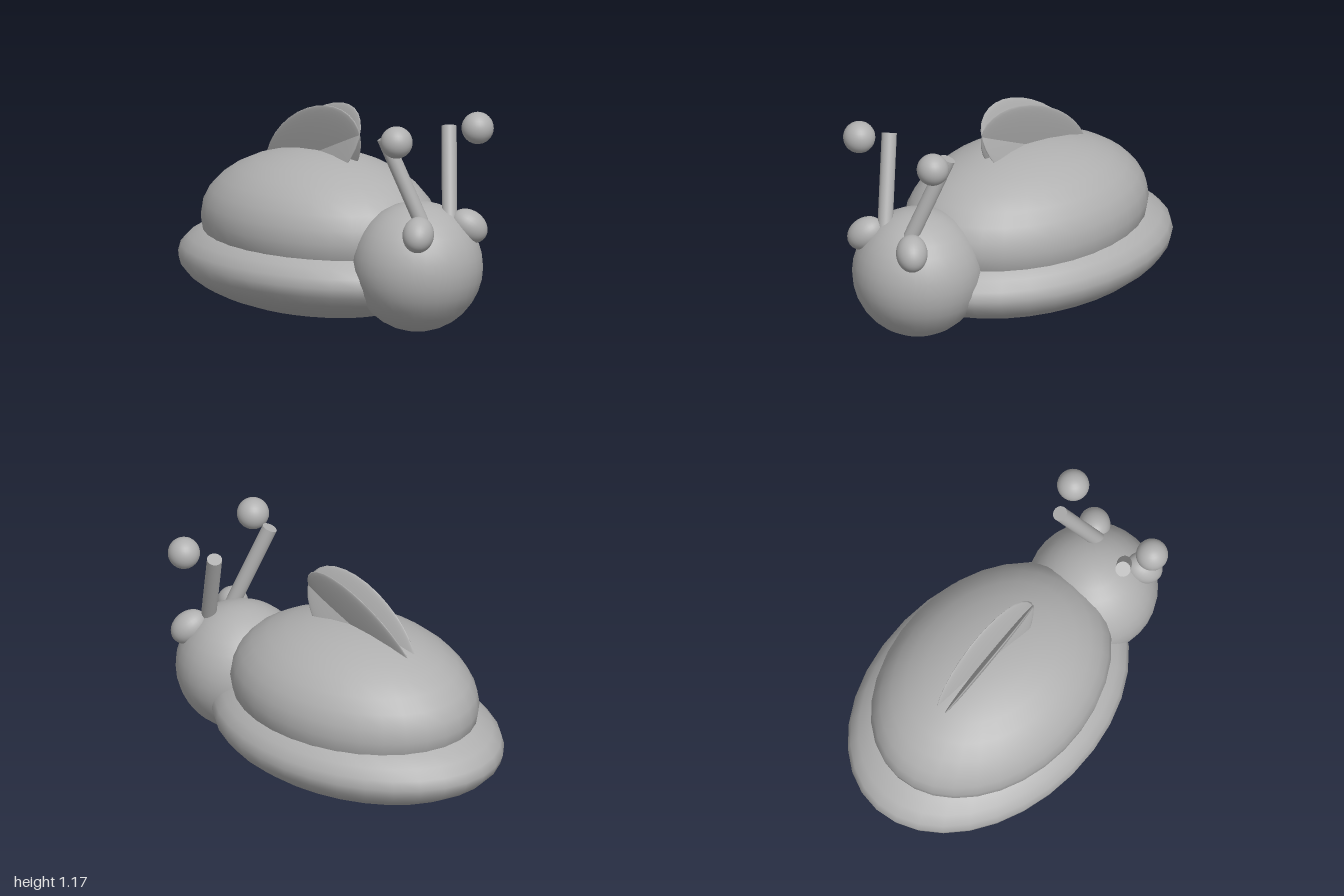
import * as THREE from 'three';

const clay = new THREE.MeshStandardMaterial({ color: 0xb0b0b0 });
clay.name = 'clay grey';

// Ellipsoid with the given radii, centred on a position
function ellipsoid(name, radii, position) {
  const geometry = new THREE.SphereGeometry(1, 32, 16);
  geometry.scale(...radii);
  const mesh = new THREE.Mesh(geometry, clay);
  mesh.name = name;
  mesh.position.set(...position);
  return mesh;
}

// Round rod between two points
function rod(name, from, to, radius) {
  const a = new THREE.Vector3(...from);
  const b = new THREE.Vector3(...to);
  const mesh = new THREE.Mesh(new THREE.CylinderGeometry(radius, radius, a.distanceTo(b), 32), clay);
  mesh.name = name;
  mesh.position.copy(a).add(b).multiplyScalar(0.5);
  mesh.quaternion.setFromUnitVectors(new THREE.Vector3(0, 1, 0), b.sub(a).normalize());
  return mesh;
}

// Thin oval wing, pitched up at the front and leaning sideways
function wing(name, side) {
  const mesh = ellipsoid(name, [0.018, 0.22, 0.42], [0, 0.834, -0.172]);
  mesh.geometry.rotateX(-0.576);
  const lean = new THREE.Matrix4().set(
    1, 0.26 * side, -0.11 * side, 0,
    0, 1, 0, 0,
    0, 0, 1, 0,
    0, 0, 0, 1);
  mesh.geometry.applyMatrix4(lean);
  return mesh;
}

export function createModel() {
  const model = new THREE.Group();
  model.name = 'snailCreature';

  // Body
  model.add(
    ellipsoid('foot', [0.615, 0.262, 0.858], [0, 0.262, -0.142]),
    ellipsoid('shell', [0.537, 0.385, 0.725], [0, 0.48, -0.12]),
    ellipsoid('head', [0.345, 0.345, 0.345], [0, 0.36, 0.655])
  );

  // Paired parts
  for (const side of [1, -1]) {
    const label = side > 0 ? 'left' : 'right';
    const eye = ellipsoid(label + 'Eye', [0.083, 0.105, 0.083], [0.178 * side, 0.583, 0.862]);
    eye.quaternion.setFromUnitVectors(
      new THREE.Vector3(0, 1, 0),
      new THREE.Vector3(-0.6 * side, 0.6, -0.5).normalize());
    model.add(
      eye,
      rod(label + 'Stalk', [0.087 * side, 0.59, 0.81], [0.227 * side, 1.078, 0.648], 0.04),
      ellipsoid(label + 'StalkBall', [0.085, 0.085, 0.085], [0.284 * side, 1.085, 0.81]),
      wing(label + 'Wing', side)
    );
  }
  return model;
}
